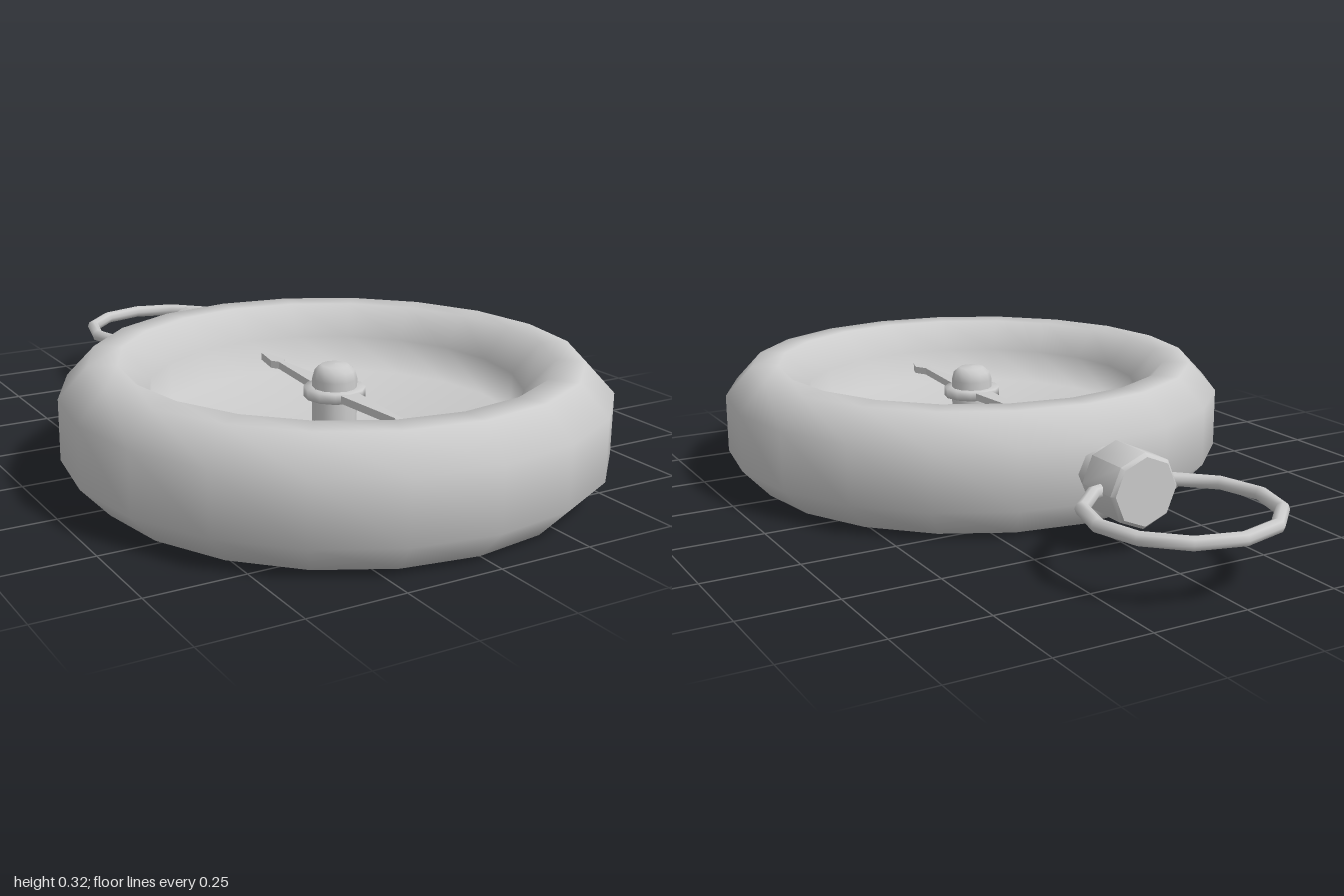
import * as THREE from 'three';
import { toCreasedNormals } from 'three/addons/utils/BufferGeometryUtils.js';

const material = new THREE.MeshStandardMaterial({ color: 0xcccccc });
const CENTER_Z = 0.29; // axis of the round case
const MID_Y = 0.16; // height of crown and ring

function addMesh(parent, name, geometry, x = 0, y = 0, z = 0) {
  const mesh = new THREE.Mesh(geometry, material);
  mesh.name = name;
  mesh.position.set(x, y, z);
  parent.add(mesh);
  return mesh;
}

function lathe(profile, sides) {
  return new THREE.LatheGeometry(profile.map(([r, y]) => new THREE.Vector2(r, y)), sides);
}

export function createModel() {
  const model = new THREE.Group();
  model.name = 'compass';

  // Chamfered case with a recessed dial
  addMesh(model, 'case', lathe([
    [0, 0], [0.63, 0], [0.705, 0.08], [0.705, 0.24], [0.63, 0.32],
    [0.555, 0.32], [0.48, 0.24], [0.48, 0.14], [0, 0.13],
  ], 20), 0, 0, CENTER_Z);

  // Pivot post with a rounded cap
  addMesh(model, 'pivotPost', lathe([
    [0.058, 0.12], [0.058, 0.255], [0.052, 0.278], [0.036, 0.291], [0, 0.294],
  ], 12), 0, 0, CENTER_Z);

  // Needle: half outline from the hub to each tip, mirrored in x
  const needle = new THREE.Group();
  needle.name = 'needle';
  needle.position.set(0, 0.21, CENTER_Z);
  model.add(needle);

  const flat = (shape) => {
    const g = new THREE.ExtrudeGeometry(shape, { depth: 0.02, bevelEnabled: false });
    return g.rotateX(-Math.PI / 2); // shape +y becomes -z
  };
  const arms = {
    northArm: [[0.026, 0.06], [0.026, 0.08], [0.008, 0.28], [0.021, 0.3], [0.004, 0.388]],
    southArm: [[0.026, -0.06], [0.026, -0.08], [0.008, -0.29], [0.026, -0.325], [0.013, -0.366]],
  };
  for (const [name, half] of Object.entries(arms)) {
    const outline = [...half, ...half.map(([x, y]) => [-x, y]).reverse()];
    addMesh(needle, name, flat(new THREE.Shape(outline.map(([x, y]) => new THREE.Vector2(x, y)))));
  }

  // Collar that carries the needle round the post
  addMesh(needle, 'needleCollar', lathe([
    [0.052, -0.003], [0.08, -0.003], [0.08, 0.023], [0.052, 0.023],
  ], 12));

  // Stem and bevelled crown at the back
  const stem = new THREE.CylinderGeometry(0.067, 0.067, 0.12, 8).rotateX(-Math.PI / 2);
  addMesh(model, 'stem', toCreasedNormals(stem, 0.9), 0, MID_Y, -0.42);

  const crown = lathe([
    [0, 0], [0.088, 0], [0.097, 0.01], [0.097, 0.135], [0.088, 0.145], [0, 0.145],
  ], 8).rotateX(-Math.PI / 2);
  addMesh(model, 'crown', toCreasedNormals(crown, 0.8), 0, MID_Y, -0.46);

  // Hanging ring through the crown
  const ring = new THREE.TorusGeometry(0.232, 0.018, 8, 12).rotateX(-Math.PI / 2);
  addMesh(model, 'hangingRing', ring, 0, MID_Y, -0.75);

  return model;
}
